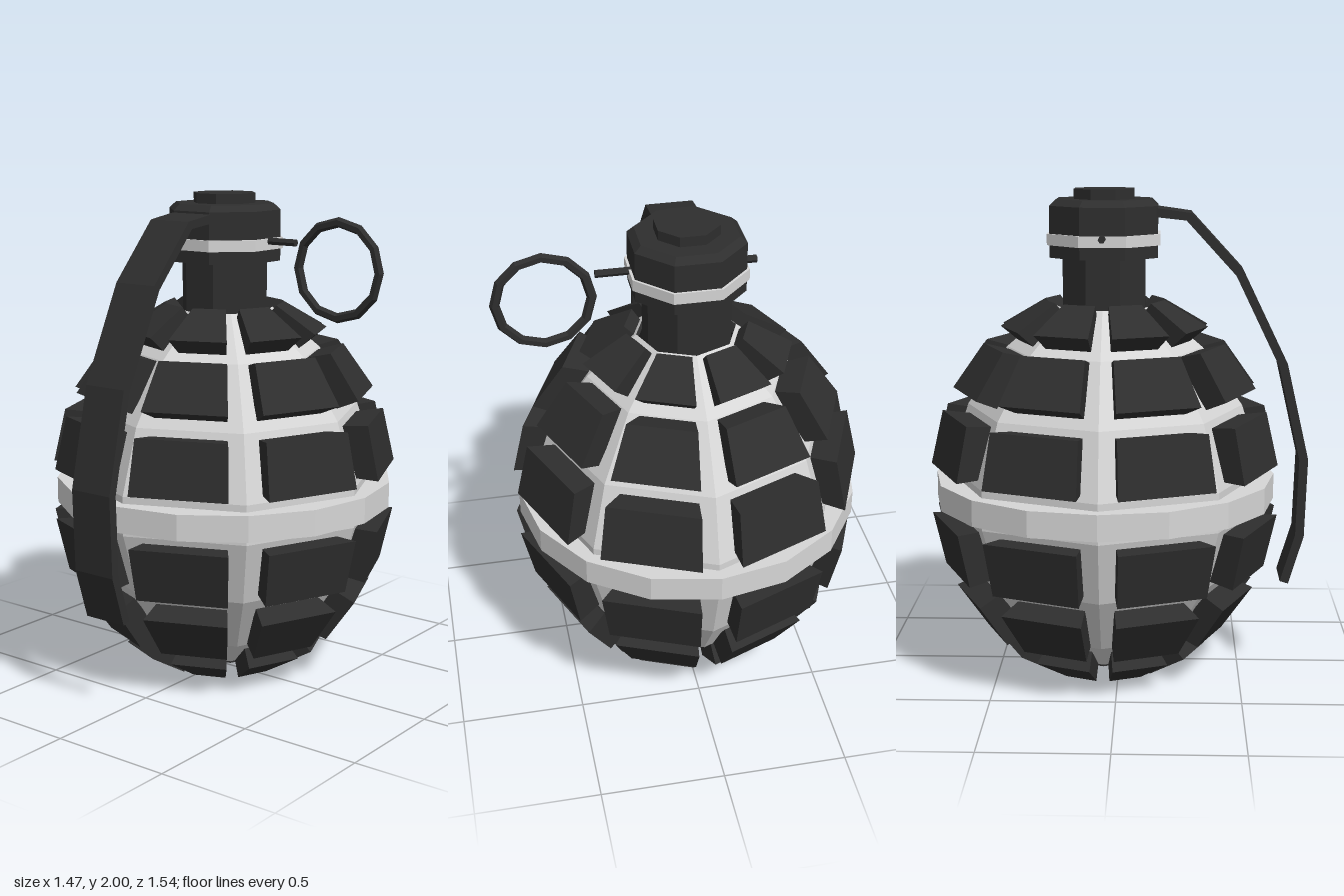
import * as THREE from 'three';

const dark = new THREE.MeshStandardMaterial({ color: 0x2e2e2e });
dark.name = 'dark metal';
const light = new THREE.MeshStandardMaterial({ color: 0xd6d6d6 });
light.name = 'light metal';

// Gives a geometry faceted normals
function faceted(geo) {
  const g = geo.index ? geo.toNonIndexed() : geo;
  g.computeVertexNormals();
  return g;
}

function add(parent, name, geo, mat) {
  const mesh = new THREE.Mesh(faceted(geo), mat);
  mesh.name = name;
  parent.add(mesh);
  return mesh;
}

// Octagonal prism with flats on the axes; sizes are half widths across the flats
function octagon(parent, name, y0, y1, bottom, top, mat = dark) {
  const k = 1 / Math.cos(Math.PI / 8);
  const geo = new THREE.CylinderGeometry(top * k, bottom * k, y1 - y0, 8);
  geo.rotateY(Math.PI / 8);
  geo.translate(0, (y0 + y1) / 2, 0);
  return add(parent, name, geo, mat);
}

// Flat armour block: corners are [radius, y] for outer and inner, top and bottom
function blockGeometry(row, angle) {
  const geo = new THREE.BoxGeometry(1, 1, 1);
  const p = geo.attributes.position;
  for (let i = 0; i < p.count; i++) {
    const side = p.getZ(i) > 0 ? row.outer : row.inner;
    const [r, y] = p.getY(i) > 0 ? side[0] : side[1];
    const a = angle + Math.sign(p.getX(i)) * 0.283;
    p.setXYZ(i, r * Math.sin(a), y, r * Math.cos(a));
  }
  return geo;
}

export function createModel() {
  const model = new THREE.Group();
  model.name = 'grenade';
  const body = new THREE.Group();
  body.name = 'body';
  body.position.set(-0.03, 0, -0.06);
  model.add(body);

  // Eight-sided inner core showing in the grooves
  const profile = [
    [0.2, 0.06], [0.4, 0.2], [0.565, 0.44], [0.65, 0.7],
    [0.65, 0.86], [0.565, 1.12], [0.4, 1.36], [0.2, 1.53],
  ].map(([r, y]) => new THREE.Vector2(r, y));
  add(body, 'core', new THREE.LatheGeometry(profile, 8), light);
  const base = new THREE.CylinderGeometry(0.2, 0.2, 0.01, 8);
  base.translate(0, 0.058, 0);
  add(body, 'bottomPlate', base, dark);

  // Waist band
  const band = new THREE.CylinderGeometry(0.7, 0.7, 0.105, 16);
  band.translate(0, 0.78, 0);
  add(body, 'waistBand', band, light);

  // Three rows of blocks, mirrored below the waist
  const rows = [
    { outer: [[0.245, 1.555], [0.423, 1.45]], inner: [[0.19, 1.5], [0.35, 1.39]] },
    { outer: [[0.493, 1.38], [0.62, 1.2]], inner: [[0.37, 1.35], [0.525, 1.16]] },
    { outer: [[0.665, 1.105], [0.715, 0.885]], inner: [[0.54, 1.09], [0.6, 0.885]] },
  ];
  const flip = ([top, bottom]) => [[bottom[0], 1.56 - bottom[1]], [top[0], 1.56 - top[1]]];
  const allRows = rows.concat(rows.map((r) => ({ outer: flip(r.outer), inner: flip(r.inner) })));
  const blocks = new THREE.Group();
  blocks.name = 'blocks';
  body.add(blocks);
  for (const row of allRows) {
    for (let i = 0; i < 8; i++) {
      add(blocks, 'block', blockGeometry(row, ((i + 0.5) * Math.PI) / 4), dark);
    }
  }

  // Neck and head
  octagon(body, 'neck', 1.46, 1.74, 0.165, 0.165);
  octagon(body, 'head', 1.73, 1.935, 0.216, 0.216);
  octagon(body, 'headBevel', 1.935, 1.96, 0.216, 0.19);
  octagon(body, 'headBand', 1.78, 1.825, 0.226, 0.226, light);
  octagon(body, 'cap', 1.955, 2.0, 0.12, 0.12);

  // Safety lever: a bent strip extruded across its width
  const path = [
    [0.1, 1.91], [0.145, 1.91], [0.28, 1.893], [0.485, 1.67],
    [0.665, 1.3], [0.755, 0.91], [0.745, 0.59], [0.685, 0.39],
  ].map(([z, y]) => new THREE.Vector2(z, y));
  const offset = (d) => path.map((p, i) => {
    const a = path[Math.max(i - 1, 0)];
    const b = path[Math.min(i + 1, path.length - 1)];
    const t = b.clone().sub(a).normalize();
    return new THREE.Vector2(p.x - t.y * d, p.y + t.x * d);
  });
  const strip = new THREE.Shape([...offset(0.018), ...offset(-0.018).reverse()]);
  const lever = new THREE.ExtrudeGeometry(strip, { depth: 0.19, bevelEnabled: false });
  lever.rotateY(-Math.PI / 2);
  lever.translate(0.065, 0, 0);
  add(model, 'safetyLever', lever, dark);

  // Pin and pull ring
  const pin = new THREE.CylinderGeometry(0.015, 0.015, 0.63, 6);
  pin.rotateZ(Math.PI / 2);
  pin.translate(0.01, 1.815, -0.06);
  add(model, 'pin', pin, dark);
  const ring = new THREE.TorusGeometry(0.186, 0.02, 6, 12);
  ring.translate(0.525, 1.72, -0.06);
  add(model, 'pullRing', ring, dark);

  return model;
}
